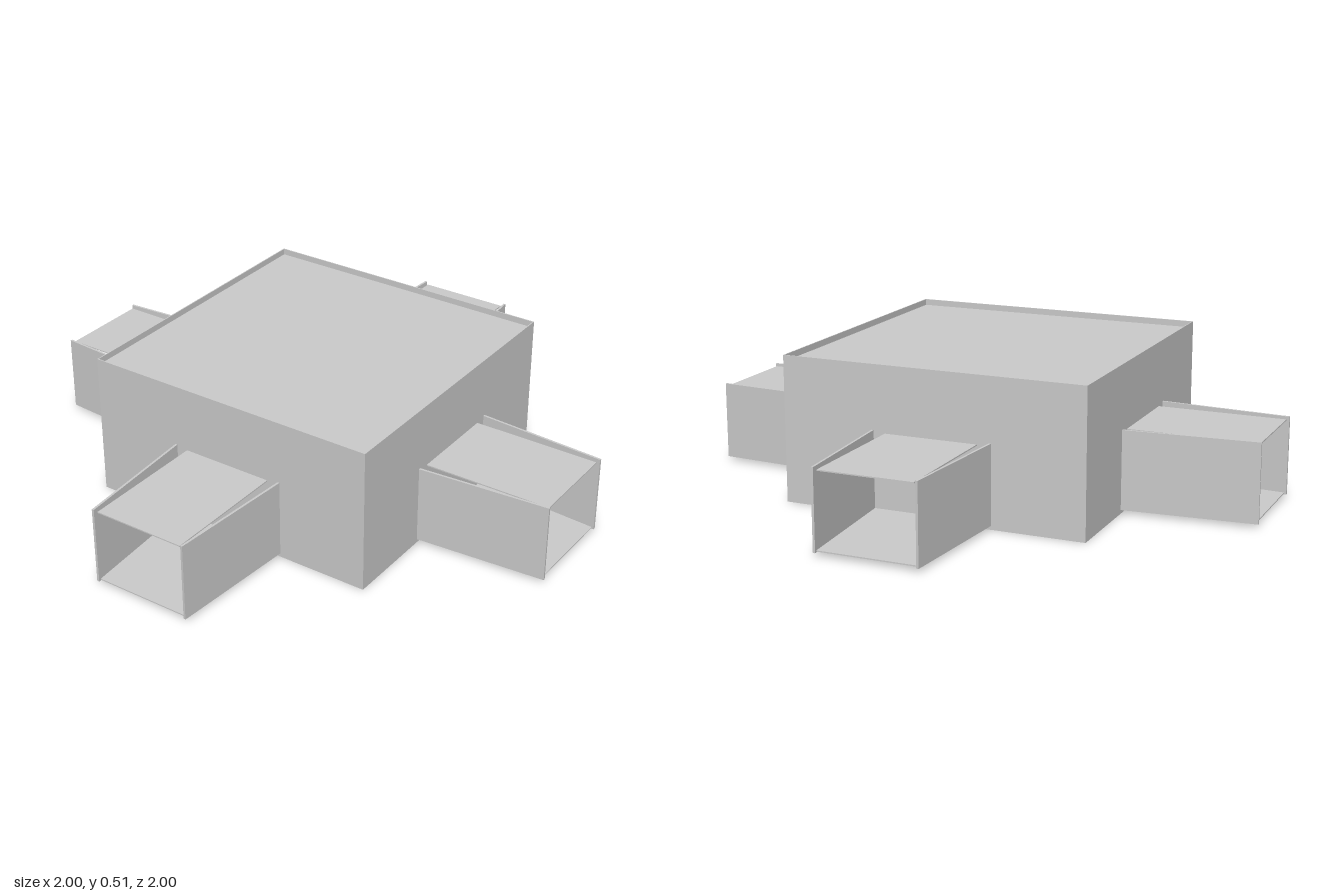
import * as THREE from 'three';

const HALF = 0.54;      // half width of the central room
const HEIGHT = 0.51;
const T = 0.004;        // sheet thickness

export function createModel() {
  const model = new THREE.Group();
  const material = new THREE.MeshStandardMaterial({ color: 0xcccccc, flatShading: true });

  function slab(parent, name, size, pos) {
    const mesh = new THREE.Mesh(new THREE.BoxGeometry(...size), material);
    mesh.name = name;
    mesh.position.set(...pos);
    parent.add(mesh);
    return mesh;
  }

  // Central room: floor and roof sit slightly inside the four walls
  const inner = 2 * (HALF - T);
  slab(model, 'roomRoof', [inner, T, inner], [0, HEIGHT - 0.024, 0]);
  slab(model, 'roomFloor', [inner, T, inner], [0, 0.024, 0]);

  // Four identical sides, each a wall with an open, flared passage
  const yLow = 0.013, yHigh = 0.288;
  const wide = 0.214, narrow = 0.181, reach = 1 - HALF;
  const wallT = 0.008;
  for (let i = 0; i < 4; i++) {
    const side = new THREE.Group();
    side.name = 'side' + (i + 1);
    side.rotation.y = i * Math.PI / 2;
    model.add(side);

    slab(side, 'roomWall', [2 * HALF, HEIGHT, T], [0, HEIGHT / 2, HALF - T / 2]);

    const passage = new THREE.Group();
    passage.name = 'passage';
    side.add(passage);

    // Side walls narrowing toward the open end
    for (const s of [-1, 1]) {
      const wall = slab(passage, 'passageWall',
        [wallT, yHigh - yLow, Math.hypot(reach, wide - narrow)],
        [s * ((wide + narrow) / 2 - wallT / 2), (yLow + yHigh) / 2, HALF + reach / 2]);
      wall.rotation.y = -s * Math.atan((wide - narrow) / reach);
    }

    // Straight roof, leaving wedge gaps beside the flared walls
    slab(passage, 'passageRoof', [0.33, T, reach - 0.008],
      [0, yHigh - 0.01, HALF + (reach - 0.008) / 2]);

    // Floor following the taper of the walls
    const outline = new THREE.Shape([
      new THREE.Vector2(-wide + wallT, -HALF),
      new THREE.Vector2(-narrow + wallT, -0.992),
      new THREE.Vector2(narrow - wallT, -0.992),
      new THREE.Vector2(wide - wallT, -HALF),
    ]);
    const floorGeo = new THREE.ExtrudeGeometry(outline, { depth: T, bevelEnabled: false });
    floorGeo.rotateX(-Math.PI / 2);
    const floor = new THREE.Mesh(floorGeo, material);
    floor.name = 'passageFloor';
    floor.position.y = yLow + 0.003;
    passage.add(floor);
  }
  return model;
}
